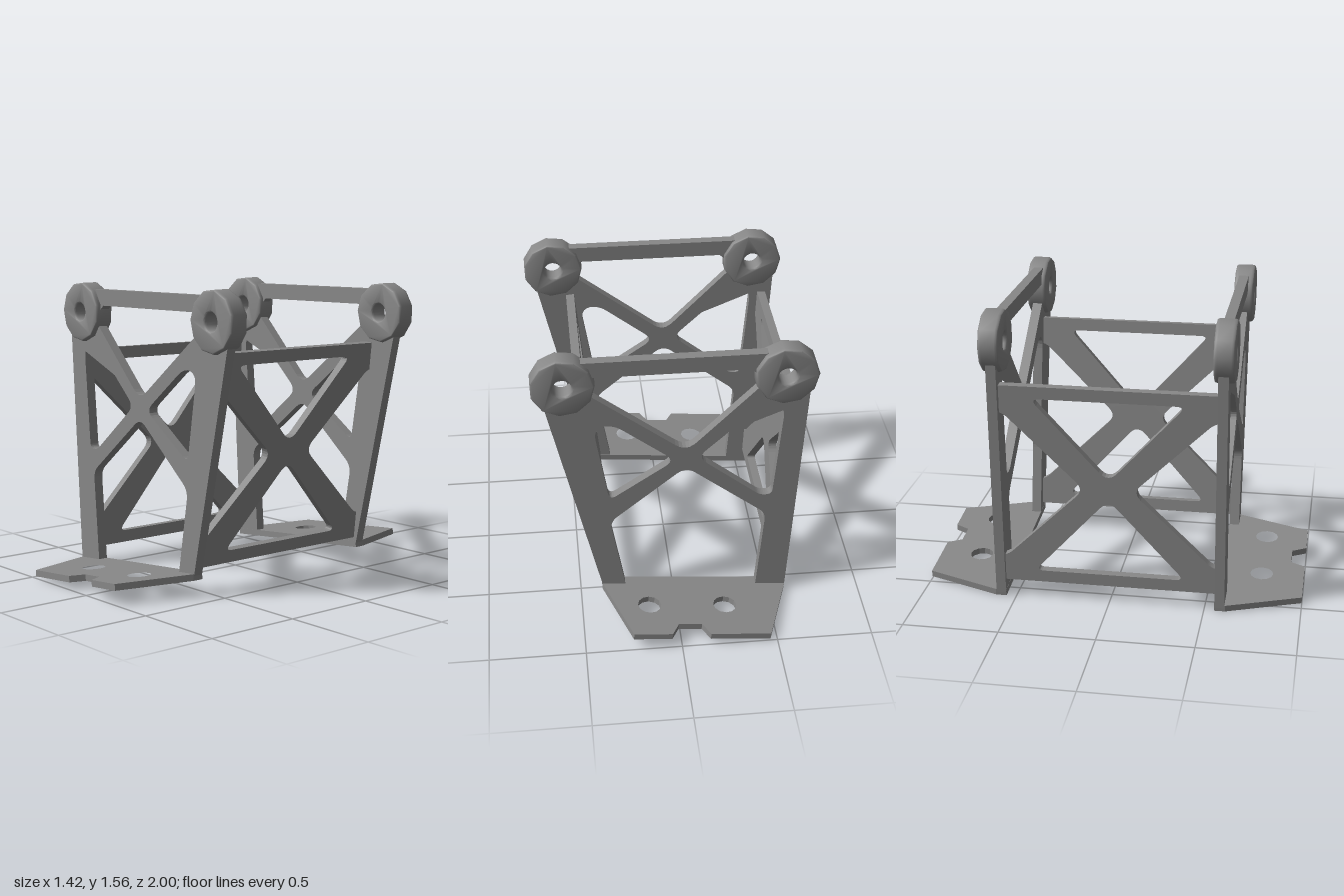
import * as THREE from 'three';
import { toCreasedNormals } from 'three/addons/utils/BufferGeometryUtils.js';

const darkGrey = new THREE.MeshStandardMaterial({ color: 0x888888 });

// Closed outline through corners [x, y, roundingDistance]
function rounded(points, path = new THREE.Shape()) {
  const v = points.map(p => new THREE.Vector2(p[0], p[1]));
  points.forEach(([x, y, r = 0], i) => {
    const prev = v[(i + v.length - 1) % v.length], next = v[(i + 1) % v.length];
    const toward = q => q.clone().sub(v[i]).setLength(r).add(v[i]);
    const a = r ? toward(prev) : v[i];
    if (i === 0) path.moveTo(a.x, a.y);
    else path.lineTo(a.x, a.y);
    if (r) {
      const b = toward(next);
      path.quadraticCurveTo(x, y, b.x, b.y);
    }
  });
  path.closePath();
  return path;
}
const hole = points => rounded(points, new THREE.Path());
const circle = (x, y, r) => new THREE.Path().absarc(x, y, r, 0, Math.PI * 2, true);

// Flat slab centred on its own thickness
function slab(shape, depth) {
  return new THREE.ExtrudeGeometry(shape, { depth, bevelEnabled: false, curveSegments: 6 })
    .translate(0, 0, -depth / 2);
}

function add(parent, name, geometry, x = 0, y = 0, z = 0) {
  const mesh = new THREE.Mesh(geometry, darkGrey);
  mesh.name = name;
  mesh.position.set(x, y, z);
  parent.add(mesh);
  return mesh;
}

// End frame: two splayed legs joined by an X brace
function endFrameGeometry() {
  const shape = rounded([
    [-0.6, 0.02], [-0.44, 0.035],
    [-0.478, 0.535, 0.045], [-0.055, 0.868, 0.06], [0.338, 0.54, 0.05],
    [0.262, 0.095], [0.384, 0.105], [0.661, 1.34], [0.427, 1.34],
    [-0.057, 0.967, 0.07], [-0.425, 1.34], [-0.675, 1.34],
  ]);
  shape.holes.push(
    hole([[-0.551, 1.216, 0.068], [-0.424, 1.216, 0.045], [-0.113, 0.925, 0.06],
      [-0.445, 0.658, 0.028], [-0.506, 0.66, 0.03]]),
    hole([[0.0, 0.915, 0.06], [0.305, 1.152, 0.05], [0.412, 1.15, 0.08], [0.338, 0.685, 0.045]]),
  );
  return slab(shape, 0.052);
}

// Top beam with a small chamfered step at one end
function topBeamGeometry() {
  return slab(rounded([
    [-0.46, 1.42], [-0.395, 1.42], [-0.37, 1.44], [0.46, 1.44], [0.46, 1.525], [-0.46, 1.525],
  ]), 0.052);
}

// Side brace: X with top and bottom bars, open toward the legs
function sideBraceGeometry() {
  const w = 0.56, h = 0.55;
  const shape = rounded([
    [-w, -h], [w, -h], [w, -0.405], [0.53, -0.395, 0.025], [0.125, 0, 0.06],
    [0.53, 0.395, 0.025], [w, 0.405], [w, h], [-w, h], [-w, 0.405],
    [-0.53, 0.395, 0.025], [-0.125, 0, 0.06], [-0.53, -0.395, 0.025], [-w, -0.405],
  ]);
  for (const s of [-1, 1]) {
    shape.holes.push(hole([[-0.395, s * 0.485, 0.05], [0.395, s * 0.485, 0.05], [0, s * 0.05, 0.07]]));
  }
  return slab(shape, 0.045).rotateY(-Math.PI / 2);
}

// Foot plate: tapered, notched and drilled; s = +1 front, -1 back
function footPlateGeometry(s) {
  const shape = rounded([
    [-0.6, 0.553], [0.388, 0.553], [0.388, 0.61], [0.252, 1], [0.052, 1], [0.012, 0.925],
    [-0.11, 0.925], [-0.15, 1], [-0.465, 1], [-0.6, 0.61],
  ].map(([x, z]) => [x + 0.107, -s * z]));
  for (const x of [-0.25, 0.152]) shape.holes.push(circle(x + 0.107, -s * 0.775, 0.062));
  return slab(shape, 0.034).rotateX(-Math.PI / 2);
}

// Eleven-sided boss with a smooth rounded rim and a bore
function bossGeometry() {
  const points = [];
  for (let i = 0; i < 11; i++) {
    const a = THREE.MathUtils.degToRad(80) + (i * Math.PI * 2) / 11;
    points.push([0.16 * Math.cos(a), 0.16 * Math.sin(a)]);
  }
  const shape = rounded(points);
  shape.holes.push(circle(0, 0, 0.046));
  const depth = 0.069, bevel = 0.018;
  const geometry = new THREE.ExtrudeGeometry(shape, {
    depth, bevelThickness: bevel, bevelSize: 0.01, bevelOffset: -0.01,
    bevelSegments: 3, curveSegments: 10,
  }).translate(0, 0, -depth / 2);
  return toCreasedNormals(geometry, 0.65);
}

export function createModel() {
  const model = new THREE.Group();
  model.name = 'bracketFrame';
  const frame = endFrameGeometry(), boss = bossGeometry();
  const brace = sideBraceGeometry(), beam = topBeamGeometry();

  for (const [s, end] of [[1, 'front'], [-1, 'back']]) {
    const z = s * 0.58;
    add(model, end + 'Frame', frame, 0, 0, z);
    add(model, end + 'TopBeam', beam, 0, 0, z);
    add(model, end + 'LeftBoss', boss, 0.554, 1.401, s * 0.583);
    add(model, end + 'RightBoss', boss, -0.55, 1.401, s * 0.583);
    // Plates slope with the foot of the frame
    add(model, end + 'FootPlate', footPlateGeometry(s), -0.107, 0.061, 0).rotation.z = Math.atan(0.0875);
  }

  // Side braces lean outward with the legs
  add(model, 'leftSideBrace', brace, 0.406, 0.69, 0).rotation.z = -0.108;
  add(model, 'rightSideBrace', brace, -0.587, 0.643, 0).rotation.z = 0.045;
  return model;
}
